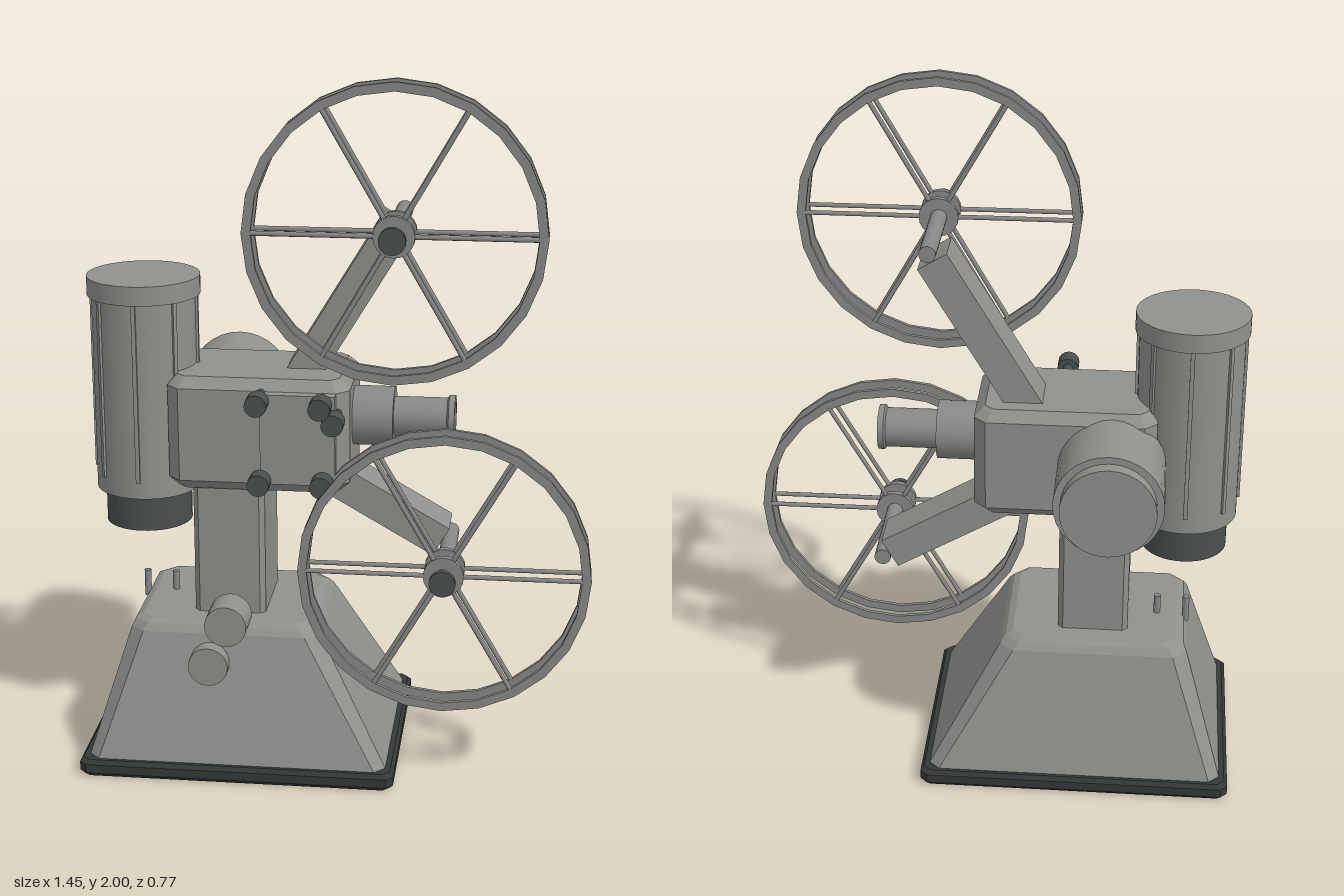
import * as THREE from 'three';

const mat = (name, color) => {
  const m = new THREE.MeshStandardMaterial({ color });
  m.name = name;
  return m;
};

export function createModel() {
  const root = new THREE.Group();
  root.name = 'filmProjector';
  const body = mat('grey enamel', 0x8e918c);
  const metal = mat('grey metal', 0x888987);
  const dark = mat('dark knob', 0x495050);
  const rubber = mat('black rubber', 0x343838);

  const add = (name, geo, material, x = 0, y = 0, z = 0, parent = root) => {
    const m = new THREE.Mesh(geo, material);
    m.name = name;
    m.position.set(x, y, z);
    parent.add(m);
    return m;
  };

  // Flat-faced solid through chamfered rectangles: [y, x0, x1, z0, z1, chamfer]
  const loft = (levels) => {
    const loops = levels.map(([y, x0, x1, z0, z1, c]) => [
      [x1, z1 - c], [x1, z0 + c], [x1 - c, z0], [x0 + c, z0],
      [x0, z0 + c], [x0, z1 - c], [x0 + c, z1], [x1 - c, z1],
    ].map(([x, z]) => [x, y, z]));
    const pos = [];
    const tri = (...p) => p.forEach((v) => pos.push(...v));
    for (let l = 0; l < loops.length - 1; l++) {
      for (let i = 0; i < 8; i++) {
        const j = (i + 1) % 8, lo = loops[l], hi = loops[l + 1];
        tri(lo[i], lo[j], hi[j]);
        tri(lo[i], hi[j], hi[i]);
      }
    }
    const bottom = loops[0], top = loops[loops.length - 1];
    for (let i = 1; i < 7; i++) {
      tri(top[0], top[i], top[i + 1]);
      tri(bottom[0], bottom[i + 1], bottom[i]);
    }
    const g = new THREE.BufferGeometry();
    g.setAttribute('position', new THREE.Float32BufferAttribute(pos, 3));
    g.computeVertexNormals();
    return g;
  };

  // Cylinder along z between z0 and z1
  const rodZ = (name, r, x, y, z0, z1, material, seg = 24, parent = root) =>
    add(name, new THREE.CylinderGeometry(r, r, z1 - z0, seg).rotateX(Math.PI / 2),
      material, x, y, (z0 + z1) / 2, parent);

  // Foot, sloping base and column
  add('rubberFoot', loft([
    [0, -0.715, 0.17, -0.305, 0.375, 0.02],
    [0.012, -0.725, 0.18, -0.315, 0.385, 0.02],
    [0.038, -0.725, 0.18, -0.315, 0.385, 0.02],
    [0.05, -0.715, 0.17, -0.305, 0.375, 0.02],
  ]), rubber);
  add('base', loft([
    [0.05, -0.7, 0.155, -0.295, 0.365, 0.03],
    [0.41, -0.59, -0.045, -0.195, 0.265, 0.04],
    [0.43, -0.58, -0.06, -0.18, 0.25, 0.04],
    [0.44, -0.56, -0.08, -0.165, 0.235, 0.035],
  ]), body);
  add('column', loft([
    [0.43, -0.415, -0.21, -0.105, 0.17, 0.015],
    [0.83, -0.415, -0.21, -0.105, 0.17, 0.015],
  ]), body);

  // Base controls
  rodZ('baseDial', 0.06, -0.305, 0.45, 0.2, 0.305, body, 32);
  rodZ('baseDial', 0.057, -0.355, 0.33, 0.25, 0.318, body, 32);
  for (const x of [-0.585, -0.5]) {
    add('switchPin', new THREE.CylinderGeometry(0.01, 0.01, 0.08, 12), metal, x, 0.457, 0.01);
  }

  // Projector head with chamfered edges
  add('head', loft([
    [0.82, -0.455, 0.005, -0.11, 0.175, 0.025],
    [0.85, -0.48, 0.035, -0.138, 0.203, 0.035],
    [1.12, -0.48, 0.035, -0.138, 0.203, 0.035],
    [1.15, -0.455, 0.005, -0.11, 0.175, 0.025],
  ]), body);
  add('filmDoor', new THREE.BoxGeometry(0.21, 0.26, 0.05), body, -0.105, 0.99, 0.21);

  // Film guide rollers on the door
  const rollers = [[-0.21, 1.11, 0.315], [-0.035, 1.105, 0.315], [0, 1.06, 0.31],
    [-0.21, 0.87, 0.285], [-0.035, 0.87, 0.285]];
  for (const [x, y, z] of rollers) {
    rodZ('rollerShaft', 0.016, x, y, 0.19, z - 0.05, dark, 12);
    rodZ('roller', 0.031, x, y, z - 0.055, z, dark, 16);
  }

  // Lamp house
  const lampX = -0.568, lampZ = 0.032;
  const drum = (name, r, y0, y1, material) =>
    add(name, new THREE.CylinderGeometry(r, r, y1 - y0, 40), material, lampX, (y0 + y1) / 2, lampZ);
  drum('lampSocket', 0.124, 0.675, 0.79, dark);
  drum('lampHousing', 0.149, 0.78, 1.36, body);
  drum('lampCap', 0.161, 1.35, 1.405, body);
  for (let i = 0; i < 8; i++) {
    const a = (i * Math.PI) / 4;
    const rib = add('lampRib', new THREE.BoxGeometry(0.012, 0.52, 0.012), body,
      lampX + 0.15 * Math.sin(a), 1.09, lampZ + 0.15 * Math.cos(a));
    rib.rotation.y = a;
  }

  // Motor at the back
  rodZ('motor', 0.153, -0.355, 0.984, -0.35, -0.1, body, 32);
  rodZ('motorCap', 0.133, -0.355, 0.984, -0.39, -0.34, body, 32);

  // Lens barrel, hollow at the tip
  const barrel = [[0, 0], [0.085, 0], [0.085, 0.15], [0.057, 0.15], [0.057, 0.3],
    [0.065, 0.305], [0.065, 0.322], [0.046, 0.322], [0.046, 0.28]];
  const lathePts = barrel.flatMap(([r, h]) => [new THREE.Vector2(r, h), new THREE.Vector2(r, h)]);
  const lens = new THREE.LatheGeometry(lathePts, 32);
  lens.rotateZ(-Math.PI / 2);
  add('lensBarrel', lens, metal, 0, 1.009, 0.035);
  add('lensGlass', new THREE.CircleGeometry(0.047, 32).rotateY(Math.PI / 2), dark, 0.285, 1.009, 0.035);

  // Reel rim and hub cut as flat rings
  const ring = (outer, inner, depth, seg) => {
    const s = new THREE.Shape().absarc(0, 0, outer, 0, Math.PI * 2, false);
    s.holes.push(new THREE.Path().absarc(0, 0, inner, 0, Math.PI * 2, true));
    return new THREE.ExtrudeGeometry(s, { depth, bevelEnabled: false, curveSegments: seg })
      .translate(0, 0, -depth / 2);
  };
  const rimGeo = ring(0.409, 0.384, 0.012, 12);
  const hubGeo = ring(0.057, 0.02, 0.018, 10);
  const spokeGeo = new THREE.CylinderGeometry(0.007, 0.007, 0.35, 8).translate(0, 0.215, 0);

  // Arm, spindle and two-sided reel
  const reelArm = (label, x, y, angle, length) => {
    const g = new THREE.Group();
    g.name = label;
    g.position.set(x, y, 0);
    root.add(g);
    const back = length / 2 + 0.025;
    const arm = add('arm', new THREE.BoxGeometry(length, 0.095, 0.132), body,
      -Math.cos(angle) * back, -Math.sin(angle) * back, 0.002, g);
    arm.rotation.z = angle;
    rodZ('spindle', 0.024, 0, 0, -0.065, 0.35, metal, 20, g);
    rodZ('spindleKnob', 0.037, 0, 0, 0.343, 0.36, dark, 20, g);
    for (const z of [0.23, 0.295]) {
      add('reelRim', rimGeo, metal, 0, 0, z, g);
      add('reelHub', hubGeo, metal, 0, 0, z, g);
      for (let i = 0; i < 6; i++) {
        const spoke = add('reelSpoke', spokeGeo, metal, 0, 0, z, g);
        spoke.rotation.z = Math.PI / 6 + (i * Math.PI) / 3;
      }
    }
  };
  reelArm('upperReel', 0.165, 1.588, Math.PI / 3 - 0.02, 0.52);
  reelArm('lowerReel', 0.31, 0.63, -Math.PI / 6, 0.42);

  return root;
}
